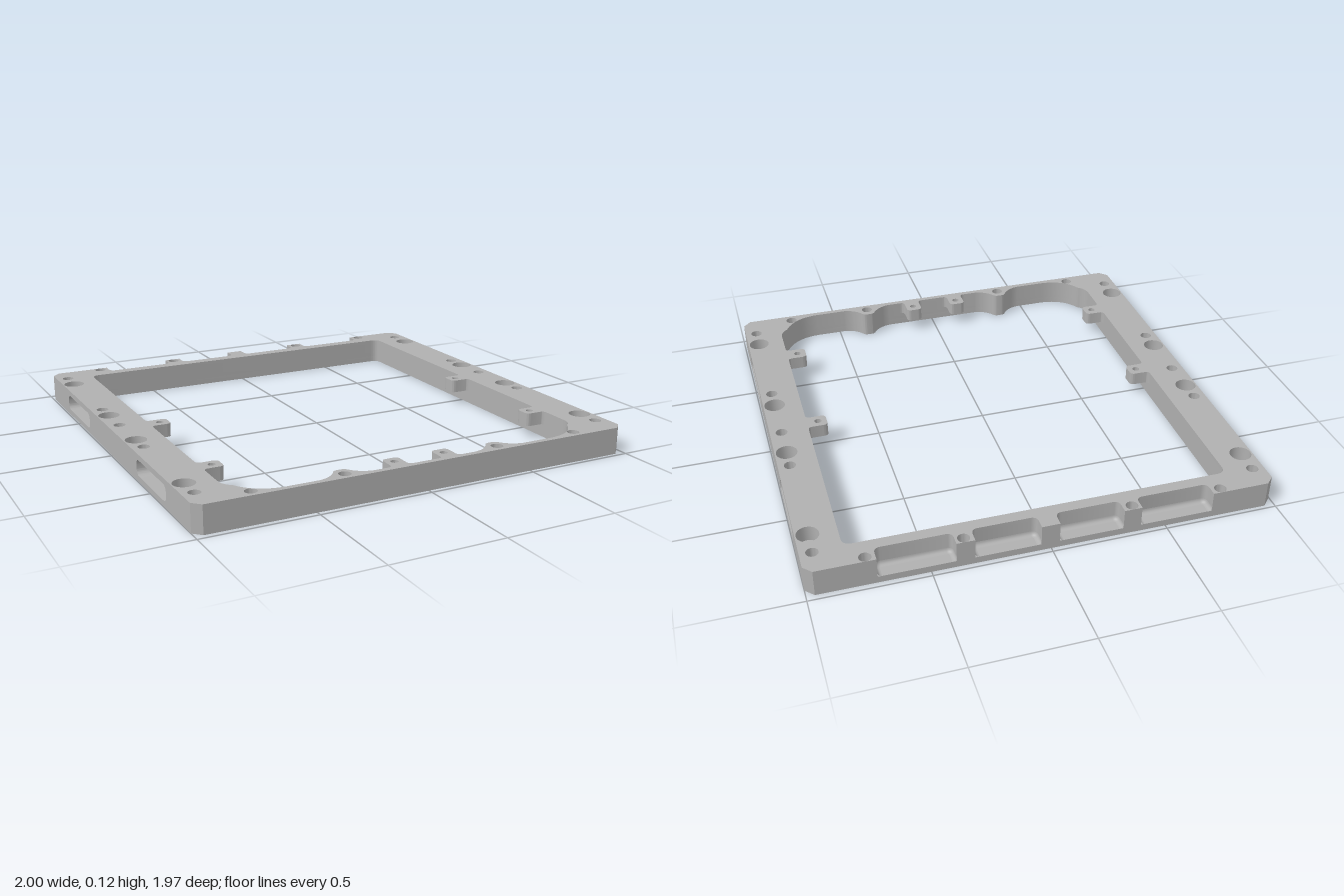
import * as THREE from 'three';
import { mergeGeometries, toCreasedNormals } from 'three/addons/utils/BufferGeometryUtils.js';

const W = 0.996, D = 0.979, H = 0.12, C = 0.035; // half width, half depth, height, corner chamfer
const FLOOR = 0.03, BORE_Y = 0.05, TAB_Y = 0.06;
const SLOT_LOW = 0.02, SLOT_HIGH = 0.1, SLOT_DEPTH = 0.12, SLOT_HALF = 0.18;
const SLOTS = [-0.499, 0.511];
const POCKETS = [[-0.712, -0.393], [-0.316, -0.039], [0.039, 0.316], [0.393, 0.712]];
const BORES = [-0.758, -0.194, 0.184, 0.746];
const SIDE_HOLES = [-0.868, -0.29, -0.039, 0.282, 0.854];
const END_HOLES = [0.357, 0.753];

// Extrudes a plan shape (x, z) so that it fills the heights y0..y1
function slab(shape, y0, y1) {
  const g = new THREE.ExtrudeGeometry(shape, { depth: y1 - y0, bevelEnabled: false, curveSegments: 12 });
  return g.rotateX(Math.PI / 2).translate(0, y1, 0);
}

function circle(x, z, r) {
  const p = new THREE.Path();
  p.absarc(x, z, r, 0, Math.PI * 2, false);
  return p;
}

// Plan outline of a back pocket, moved inwards by d
function pocketPath([x0, x1], d) {
  const r = 0.025, zin = -0.911, n = 5;
  const pts = [[x0 + d, -D]];
  for (const [cx, a0] of [[x0 + r, Math.PI], [x1 - r, Math.PI / 2]]) {
    for (let i = 0; i <= n; i++) {
      const a = a0 - (i / n) * Math.PI / 2;
      pts.push([cx + (r - d) * Math.cos(a), zin - r + (r - d) * Math.sin(a)]);
    }
  }
  pts.push([x1 - d, -D]);
  return pts;
}

// Outer edge, with pockets in the back and slots in the sides where asked
function outerShape(pockets, slots) {
  const pts = [[-W + C, -D]];
  if (pockets) for (const p of POCKETS) pts.push(...pocketPath(p, 0));
  pts.push([W - C, -D], [W, -D + C]);
  const sideCuts = (s, centres) => {
    for (const z of centres) {
      const a = z - s * SLOT_HALF, b = z + s * SLOT_HALF;
      pts.push([s * W, a], [s * (W - SLOT_DEPTH), a], [s * (W - SLOT_DEPTH), b], [s * W, b]);
    }
  };
  if (slots) sideCuts(1, SLOTS);
  pts.push([W, D - C], [W - C, D], [-W + C, D], [-W, D - C]);
  if (slots) sideCuts(-1, [...SLOTS].reverse());
  pts.push([-W, -D + C]);
  return new THREE.Shape(pts.map(([x, z]) => new THREE.Vector2(x, z)));
}

// Central opening with swept front corners and a boss round each front hole
function opening() {
  const X = 0.824, ZB = -0.86, ZF = 0.955, R = 0.04, B = 0.357;
  const p = new THREE.Path();
  p.moveTo(-X + R, ZB);
  p.lineTo(X - R, ZB);
  p.quadraticCurveTo(X, ZB, X, ZB + R);
  p.lineTo(X, 0.78);
  p.quadraticCurveTo(X, 0.83, 0.79, 0.85);
  p.quadraticCurveTo(0.74, 0.95, 0.62, ZF);
  for (const b of [B, -B]) {
    p.lineTo(b + 0.12, ZF);
    p.quadraticCurveTo(b + 0.065, 0.948, b + 0.035, 0.905);
    p.quadraticCurveTo(b + 0.025, 0.888, b + 0.012, 0.888);
    p.lineTo(b - 0.012, 0.888);
    p.quadraticCurveTo(b - 0.025, 0.888, b - 0.035, 0.905);
    p.quadraticCurveTo(b - 0.065, 0.948, b - 0.12, ZF);
  }
  p.lineTo(-0.62, ZF);
  p.quadraticCurveTo(-0.74, 0.95, -0.79, 0.85);
  p.quadraticCurveTo(-X, 0.83, -X, 0.78);
  p.lineTo(-X, ZB + R);
  p.quadraticCurveTo(-X, ZB, -X + R, ZB);
  return p;
}

// One horizontal layer of the frame
function frameLayer(y0, y1) {
  const shape = outerShape(y0 >= FLOOR, y0 >= SLOT_LOW && y1 <= SLOT_HIGH);
  shape.holes.push(opening());
  for (const s of [-1, 1]) {
    for (const z of SIDE_HOLES) shape.holes.push(circle(s * 0.944, z, 0.026));
    for (const z of BORES) shape.holes.push(circle(s * 0.944, z, y0 >= BORE_Y ? 0.047 : 0.024));
    for (const x of END_HOLES) {
      shape.holes.push(circle(s * x, -0.953, 0.026), circle(s * x, 0.937, 0.026));
    }
  }
  return slab(shape, y0, y1);
}

// Rounded surround that turns a square side cut into a slot
function slotSurround() {
  const a = SLOT_HALF, hx = 0.175, y0 = 0.025, y1 = 0.095, r = 0.028;
  const s = new THREE.Shape();
  s.moveTo(-a, SLOT_LOW).lineTo(a, SLOT_LOW).lineTo(a, SLOT_HIGH).lineTo(-a, SLOT_HIGH);
  const h = new THREE.Path();
  h.absarc(hx - r, y0 + r, r, -Math.PI / 2, 0, false);
  h.absarc(hx - r, y1 - r, r, 0, Math.PI / 2, false);
  h.absarc(-hx + r, y1 - r, r, Math.PI / 2, Math.PI, false);
  h.absarc(-hx + r, y0 + r, r, Math.PI, Math.PI * 1.5, false);
  s.holes.push(h);
  const g = new THREE.ExtrudeGeometry(s, { depth: SLOT_DEPTH, bevelEnabled: false, curveSegments: 8 });
  return toCreasedNormals(g.rotateY(Math.PI / 2), 0.6);
}

// Concave fillet between a pocket's floor and its wall
function pocketFillet(pocket) {
  const R = 0.018, levels = 5, pos = [], idx = [];
  let n = 0;
  for (let j = 0; j <= levels; j++) {
    const a = (j / levels) * Math.PI / 2;
    const path = pocketPath(pocket, R * (1 - Math.sin(a)));
    n = path.length;
    for (const [x, z] of path) pos.push(x, FLOOR + R * (1 - Math.cos(a)), z);
  }
  for (let j = 0; j < levels; j++) {
    for (let i = 0; i < n - 1; i++) {
      const a = j * n + i, up = a + n;
      idx.push(a, up, a + 1, a + 1, up, up + 1);
    }
  }
  const g = new THREE.BufferGeometry();
  g.setAttribute('position', new THREE.Float32BufferAttribute(pos, 3));
  g.setIndex(idx);
  g.computeVertexNormals();
  return g;
}

// Screw tab with flared root, rounded tip pointing to -z and a small hole
function tabGeometry() {
  const w = 0.038, L = 0.09, f = 0.02, r = 0.022;
  const s = new THREE.Shape();
  s.moveTo(-w - f, 0);
  s.quadraticCurveTo(-w, 0, -w, -f);
  s.lineTo(-w, -L + r);
  s.quadraticCurveTo(-w, -L, -w + r, -L);
  s.lineTo(w - r, -L);
  s.quadraticCurveTo(w, -L, w, -L + r);
  s.lineTo(w, -f);
  s.quadraticCurveTo(w, 0, w + f, 0);
  s.holes.push(circle(0, -0.05, 0.016));
  return toCreasedNormals(slab(s, TAB_Y, H), 0.6);
}

export function createModel() {
  const metal = new THREE.MeshStandardMaterial({ color: 0xb0b0b0 });
  metal.name = 'grey metal';
  const model = new THREE.Group();
  model.name = 'mountingFrame';
  const body = new THREE.Group();
  body.name = 'frameAssembly';
  body.rotation.y = -0.004; // slight turn of the whole frame
  model.add(body);
  const add = (name, geometry, x = 0, z = 0, turn = 0) => {
    const m = new THREE.Mesh(geometry, metal);
    m.name = name;
    m.position.set(x, 0, z);
    m.rotation.y = turn;
    body.add(m);
  };

  // Frame, stacked between the heights where its plan changes
  const heights = [0, SLOT_LOW, FLOOR, BORE_Y, SLOT_HIGH, H];
  const layers = heights.slice(1).map((y, i) => frameLayer(heights[i], y));
  add('frame', toCreasedNormals(mergeGeometries(layers), 0.6));

  for (const p of POCKETS) add('backPocketFillet', pocketFillet(p));

  // Side slots and screw tabs
  const surround = slotSurround(), tab = tabGeometry();
  for (const s of [-1, 1]) {
    for (const z of SLOTS) add('sideSlot', surround, s > 0 ? W - SLOT_DEPTH : -W, z);
    for (const z of [0.003, 0.605]) add('sideTab', tab, s * 0.824, z, s * Math.PI / 2);
    add('frontTab', tab, s * 0.116, 0.955);
  }
  return model;
}
